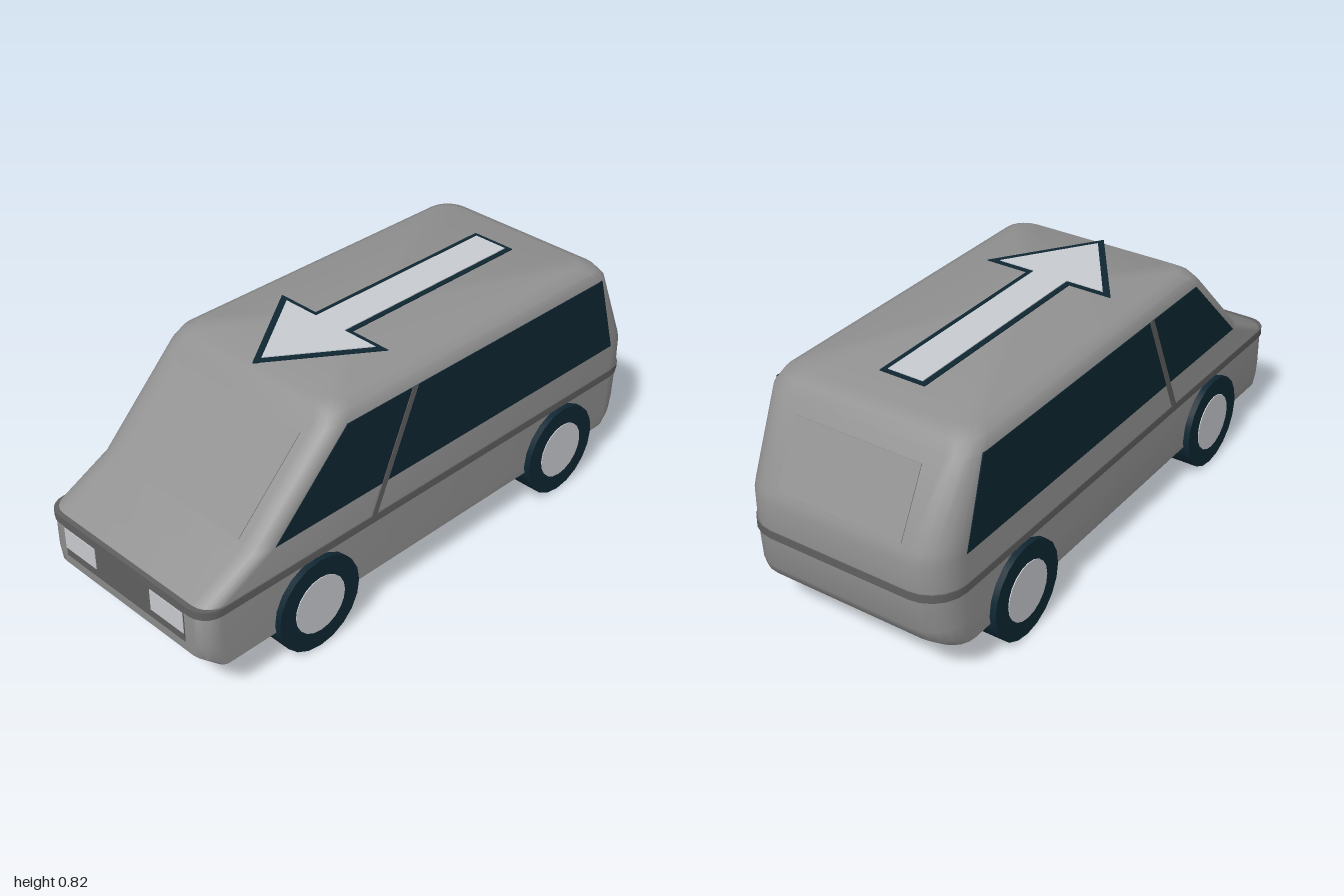
import * as THREE from 'three';
import { toCreasedNormals } from 'three/addons/utils/BufferGeometryUtils.js';

const paint = (name, color) => {
  const m = new THREE.MeshStandardMaterial({ color });
  m.name = name;
  return m;
};

// Horizontal rounded-rectangle ring: height, front z, back z, half width, front and back corner radius
function ring([y, zf, zb, hw, rf, rb]) {
  const pts = [], steps = 5;
  const corners = [[hw - rf, zf - rf, rf], [rf - hw, zf - rf, rf], [rb - hw, zb + rb, rb], [hw - rb, zb + rb, rb]];
  corners.forEach(([cx, cz, r], k) => {
    for (let i = 0; i <= steps; i++) {
      const a = (k + i / steps) * Math.PI / 2;
      pts.push([cx + r * Math.cos(a), y, cz + r * Math.sin(a)]);
    }
  });
  return pts;
}

// Closed skin over a stack of rings
function loft(sections, crease) {
  const rings = sections.map(ring), n = rings[0].length, last = rings.length - 1;
  const pos = [], idx = [];
  rings.forEach(r => r.forEach(p => pos.push(...p)));
  for (let j = 0; j < last; j++) {
    for (let i = 0; i < n; i++) {
      const a = j * n + i, b = j * n + (i + 1) % n;
      idx.push(a, a + n, b, b, a + n, b + n);
    }
  }
  const base = pos.length / 3;
  pos.push(0, sections[0][0], 0, 0, sections[last][0], 0);
  for (let i = 0; i < n; i++) {
    const k = (i + 1) % n;
    idx.push(base, i, k, base + 1, last * n + k, last * n + i);
  }
  const g = new THREE.BufferGeometry();
  g.setAttribute('position', new THREE.Float32BufferAttribute(pos, 3));
  g.setIndex(idx);
  return toCreasedNormals(g, crease);
}

const plate = (points, depth) => new THREE.ExtrudeGeometry(
  new THREE.Shape(points.map(p => new THREE.Vector2(...p))), { depth, bevelEnabled: false });

export function createModel() {
  const body = paint('body grey', 0x919191);
  const trim = paint('trim grey', 0x606060);
  const dark = paint('dark glass and rubber', 0x0f2733);
  const light = paint('light grey', 0xc8cbd0);

  const model = new THREE.Group();
  model.name = 'van';
  const add = (name, geo, mat, x = 0, y = 0, z = 0) => {
    const m = new THREE.Mesh(geo, mat);
    m.name = name;
    m.position.set(x, y, z);
    model.add(m);
    return m;
  };

  // Body shell
  add('bodyShell', loft([
    [0.14, 0.94, -0.92, 0.378, 0.03, 0.08],
    [0.175, 0.99, -0.965, 0.378, 0.07, 0.1],
    [0.22, 0.996, -0.988, 0.378, 0.07, 0.12],
    [0.345, 0.996, -0.996, 0.378, 0.07, 0.12],
    [0.365, 0.98, -0.997, 0.378, 0.07, 0.12],
    [0.46, 0.79, -0.997, 0.378, 0.07, 0.12],
    [0.49, 0.76, -0.987, 0.378, 0.07, 0.12],
    [0.755, 0.495, -0.85, 0.378, 0.07, 0.08],
    [0.79, 0.465, -0.82, 0.36, 0.07, 0.08],
    [0.811, 0.43, -0.77, 0.32, 0.06, 0.07],
  ], 0.65), body);

  // Belt strip around the whole body
  add('beltStrip', loft([
    [0.334, 1, -1, 0.382, 0.072, 0.122],
    [0.362, 1, -1, 0.382, 0.072, 0.122],
  ], 0.6), trim);

  // Windscreen and rear window panels
  const windscreen = add('windscreenPanel', new THREE.BoxGeometry(0.57, 0.36, 0.006), body, 0, 0.6025, 0.6475);
  windscreen.rotation.x = -Math.PI / 4;
  const rear = add('rearWindowPanel', new THREE.BoxGeometry(0.46, 0.235, 0.006), body, 0, 0.61, -0.925);
  rear.rotation.x = Math.atan2(0.137, 0.265);

  // Grille and headlights
  add('grille', new THREE.BoxGeometry(0.57, 0.13, 0.006), trim, 0, 0.285, 0.996);
  for (const s of [-1, 1]) {
    add('headlight', new THREE.BoxGeometry(0.152, 0.078, 0.006), light, s * 0.208, 0.29, 0.998);
  }

  // Side windows and door pillars, drawn as (z, y) outlines
  const sidePlate = (name, pts, mat, out) => {
    const g = plate(pts, 0.006).rotateY(-Math.PI / 2);
    add(name, g, mat, out);
    add(name, g, mat, -out + 0.006);
  };
  sidePlate('sideWindow', [[0.715, 0.465], [0.42, 0.757], [-0.785, 0.757], [-0.872, 0.465]], dark, 0.380);
  sidePlate('doorPillar', [[0.32, 0.355], [0.143, 0.757], [0.118, 0.757], [0.296, 0.355]], trim, 0.382);

  // Roof arrow with a dark border
  const arrow = (name, w, back, head, neck, tip, mat, y) => {
    const pts = [[-w, back], [w, back], [w, neck], [head, neck], [0, tip], [-head, neck], [-w, neck]];
    add(name, plate(pts, 0.004).rotateX(Math.PI / 2), mat, 0, y, 0);
  };
  arrow('arrowBorder', 0.083, -0.662, 0.24, 0.105, 0.45, dark, 0.814);
  arrow('arrow', 0.064, -0.645, 0.2, 0.122, 0.412, light, 0.817);

  // Full-width wheels with hub discs
  for (const [name, z] of [['front', 0.56], ['rear', -0.6]]) {
    add(name + 'Wheels', new THREE.CylinderGeometry(0.168, 0.168, 0.8, 20).rotateZ(Math.PI / 2), dark, 0, 0.168, z);
    add(name + 'Hubs', new THREE.CylinderGeometry(0.103, 0.103, 0.806, 20).rotateZ(Math.PI / 2), light, 0, 0.168, z);
  }
  return model;
}
